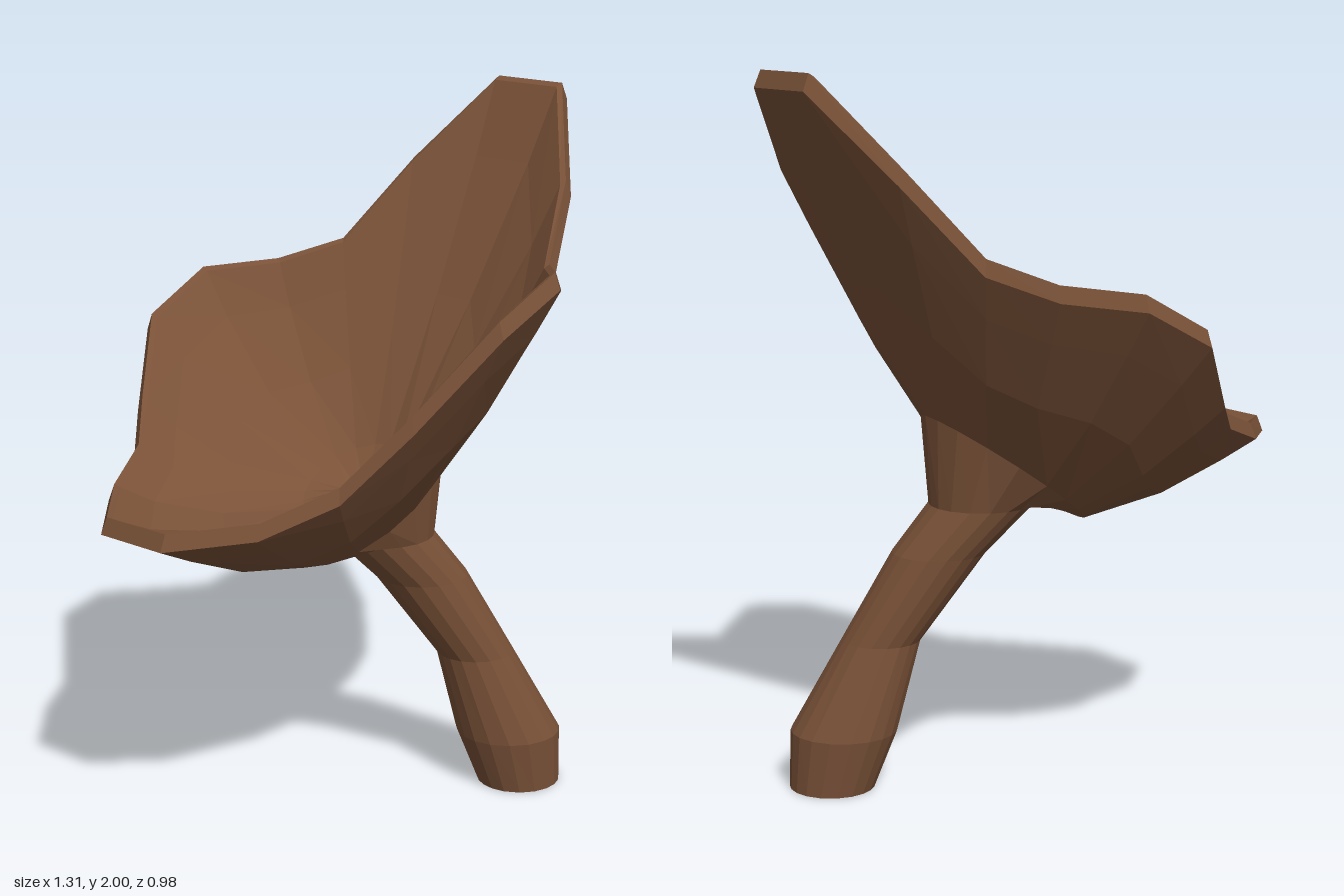
import * as THREE from 'three';

// Rim outline [x, z, y], clockwise seen from above
const RIM = [
  [-0.36, -0.49, 1.465], [-0.14, -0.49, 1.485], [0.05, -0.468, 1.545], [0.26, -0.49, 1.77], [0.5, -0.468, 2],
  [0.655, -0.32, 2], [0.633, -0.11, 1.77], [0.565, 0.04, 1.575], [0.553, 0.2, 1.59], [0.515, 0.375, 1.635],
  [0.355, 0.487, 1.54], [0.135, 0.485, 1.3], [-0.05, 0.462, 1.11], [-0.26, 0.487, 1.03], [-0.505, 0.463, 1.0],
  [-0.655, 0.315, 1.0], [-0.635, 0.11, 1.02], [-0.565, -0.045, 1.08], [-0.55, -0.2, 1.17], [-0.515, -0.375, 1.36],
];

// Ellipse with one point per rim spoke, height given by a function of x and z
const ring = (cx, cz, rx, rz, height) => RIM.map(([x, z]) => {
  const a = Math.atan2(z, x);
  const px = cx + rx * Math.cos(a), pz = cz + rz * Math.sin(a);
  return new THREE.Vector3(px, height(px, pz), pz);
});

// Ring between two others, lowered a little to curve the wall
const between = (a, b, t, sag) => a.map((p, i) => {
  const q = p.clone().lerp(b[i], t);
  q.y -= sag;
  return q;
});

// Skin through successive rings
function loft(rings) {
  const pos = [];
  const tri = (a, b, c) => {
    if (a.equals(b) || b.equals(c) || a.equals(c)) return;
    for (const p of [a, b, c]) pos.push(p.x, p.y, p.z);
  };
  for (let k = 0; k + 1 < rings.length; k++) {
    const a = rings[k], b = rings[k + 1];
    for (let i = 0; i < a.length; i++) {
      const j = (i + 1) % a.length;
      tri(a[i], b[i], b[j]);
      tri(a[i], b[j], a[j]);
    }
  }
  const geo = new THREE.BufferGeometry();
  geo.setAttribute('position', new THREE.Float32BufferAttribute(pos, 3));
  geo.computeVertexNormals();
  return geo;
}

export function createModel() {
  const group = new THREE.Group();
  const brown = new THREE.MeshStandardMaterial({ color: 0x7a5238, flatShading: true });
  brown.name = 'mushroomBrown';
  const add = (name, rings) => {
    const mesh = new THREE.Mesh(loft(rings), brown);
    mesh.name = name;
    group.add(mesh);
  };

  // Leaning stem: [y, x min, x max, z min, z max]
  const stem = [
    [0, 0.41, 0.65, -0.205, 0.012],
    [0.165, 0.345, 0.645, -0.22, 0.042],
    [0.425, 0.28, 0.5, -0.167, 0.03],
    [0.675, 0.1, 0.36, -0.16, 0.07],
    [0.81, -0.03, 0.26, -0.15, 0.11],
  ].map(([y, x0, x1, z0, z1]) =>
    ring((x0 + x1) / 2, (z0 + z1) / 2, (x1 - x0) / 2, (z1 - z0) / 2, () => y));
  const foot = ring(0.53, -0.1, 0, 0, () => 0);

  // Tilted collar where the stem flares into the cup
  const collar = ring(0.055, -0.015, 0.225, 0.17,
    (x, z) => 0.91 + 0.6 * (x - 0.055) - 0.45 * (z + 0.015));
  add('stem', [foot, ...stem, collar]);

  // Outer wall of the cup
  const lowerRim = RIM.map(([x, z, y]) => new THREE.Vector3(x, y - 0.045, z));
  const upperRim = RIM.map(([x, z, y]) => new THREE.Vector3(x * 0.975, y, z * 0.975));
  add('cupOuter', [collar, between(collar, lowerRim, 0.45, 0.03), between(collar, lowerRim, 0.8, 0.015), lowerRim]);

  // Thin lip
  const innerRim = RIM.map(([x, z, y]) => new THREE.Vector3(x * 0.95, y - 0.01, z * 0.95));
  add('rim', [lowerRim, upperRim, innerRim]);

  // Inner wall and sunken floor
  const floor = ring(0.04, -0.01, 0.145, 0.145, (x, z) => 0.96 + 0.4 * (x - 0.04) - 0.3 * z);
  const dip = ring(0.04, -0.01, 0.06, 0.06, () => 0.93);
  const centre = ring(0.04, -0.01, 0, 0, () => 0.92);
  add('cupInner', [innerRim, between(floor, innerRim, 0.82, 0.03), between(floor, innerRim, 0.45, 0.04), floor, dip, centre]);

  return group;
}
